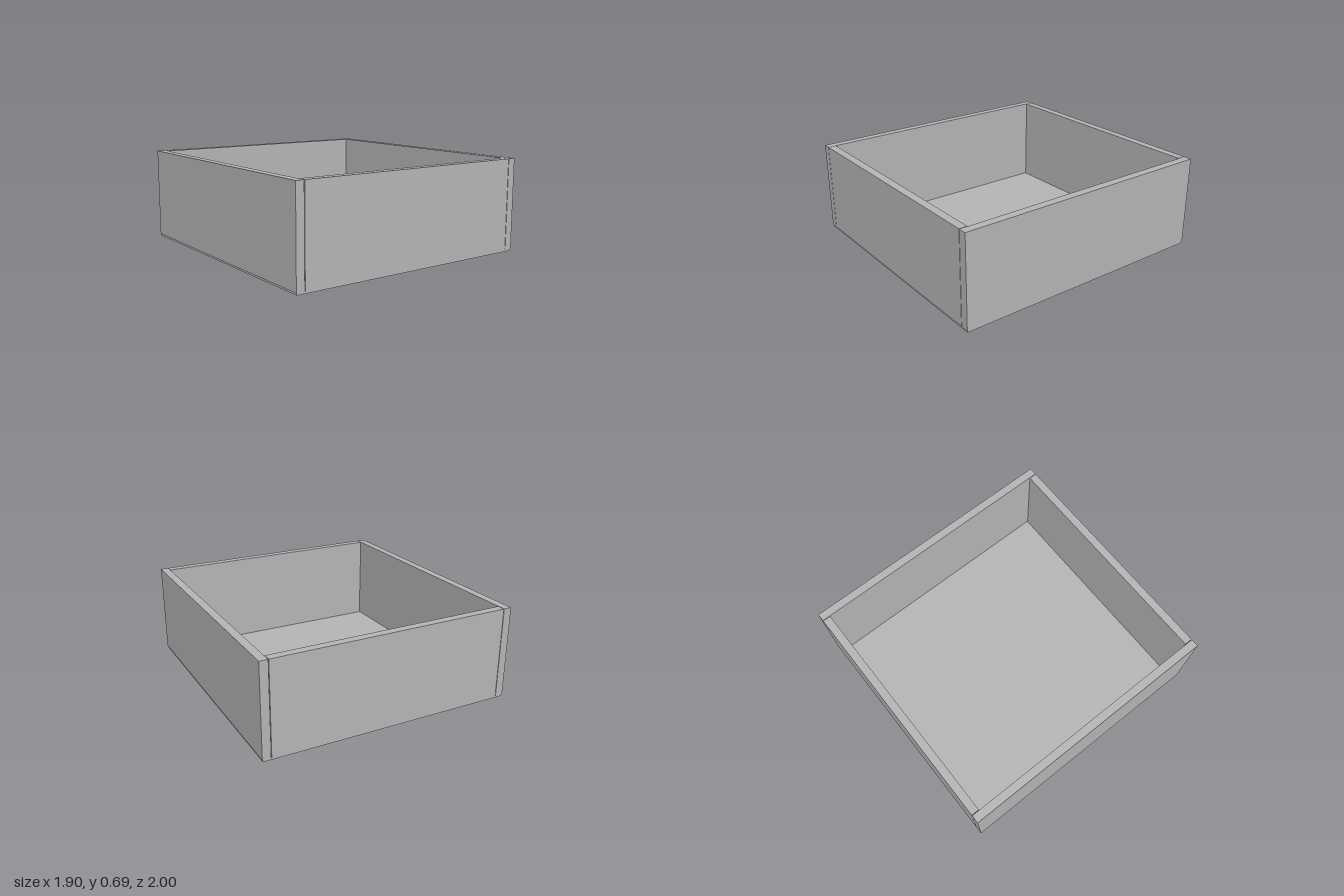
import * as THREE from 'three';

const WIDTH = 1.9, DEPTH = 2, HEIGHT = 0.69;
const WALL = 0.06, BASE = 0.015, GAP = 0.004;

export function createModel() {
  const group = new THREE.Group();
  group.name = 'openTray';
  const grey = new THREE.MeshStandardMaterial({ color: 0xb4b4b4 });
  grey.name = 'plain grey';

  const addBox = (name, w, h, d, x, y, z) => {
    const mesh = new THREE.Mesh(new THREE.BoxGeometry(w, h, d), grey);
    mesh.name = name;
    mesh.position.set(x, y, z);
    group.add(mesh);
  };

  // Thin base, set in slightly from the walls
  addBox('basePlate', WIDTH - 0.01, BASE, DEPTH - 0.01, 0, BASE / 2, 0);

  // Walls: full-depth sides, with the end panels fitted between them
  const wallHeight = HEIGHT - BASE;
  const wallY = BASE + wallHeight / 2;
  const panelWidth = WIDTH - 2 * (WALL + GAP);
  for (const s of [1, -1]) {
    addBox(s > 0 ? 'leftWall' : 'rightWall', WALL, wallHeight, DEPTH, s * (WIDTH - WALL) / 2, wallY, 0);
    addBox(s > 0 ? 'frontPanel' : 'backPanel', panelWidth, wallHeight, WALL, 0, wallY, s * (DEPTH - WALL) / 2);
  }
  return group;
}
